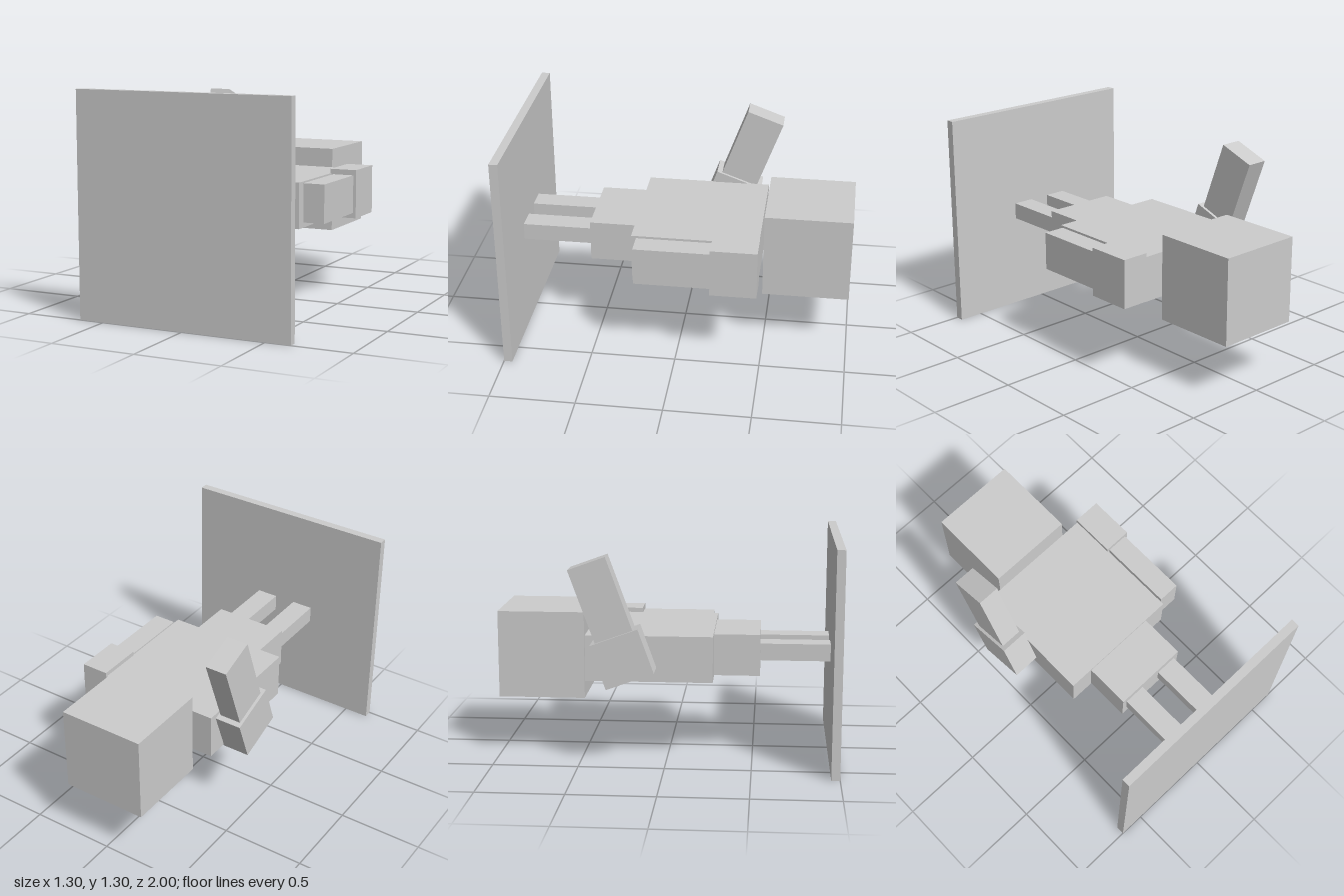
import * as THREE from 'three';

const material = new THREE.MeshStandardMaterial({ color: 0xcccccc, flatShading: true });

function box(name, [w, h, d], [x, y, z]) {
  const mesh = new THREE.Mesh(new THREE.BoxGeometry(w, h, d), material);
  mesh.name = name;
  mesh.position.set(x, y, z);
  return mesh;
}

// Arm along local +z, with its origin at the middle of the upper arm
function arm(name, position, pitch) {
  const group = new THREE.Group();
  group.name = name;
  group.add(
    box('upperArm', [0.165, 0.292, 0.27], [0, 0, 0]),
    box('forearm', [0.13, 0.228, 0.445], [0, 0, 0.3575]),
  );
  group.position.set(...position);
  group.rotation.x = pitch;
  return group;
}

export function createModel() {
  const model = new THREE.Group();
  model.name = 'blockFigure';

  // Upright plate under the feet, then the reclining body towards the head
  model.add(
    box('basePlate', [1.3, 1.3, 0.05], [0, 0.65, 0.975]),
    box('hips', [0.45, 0.245, 0.27], [0, 0.615, 0.405]),
    box('torso', [0.74, 0.27, 0.74], [0, 0.615, -0.1]),
    box('head', [0.515, 0.515, 0.51], [0, 0.605, -0.745]),
  );

  // Legs
  for (const [side, name] of [[1, 'leftLeg'], [-1, 'rightLeg']]) {
    model.add(box(name, [0.13, 0.1, 0.41], [side * 0.13, 0.63, 0.745]));
  }

  // Left arm rests at the side, right arm is raised
  model.add(
    arm('leftArm', [0.448, 0.63, -0.34], 0),
    arm('rightArm', [-0.448, 0.644, -0.239], THREE.MathUtils.degToRad(-110)),
  );

  return model;
}
